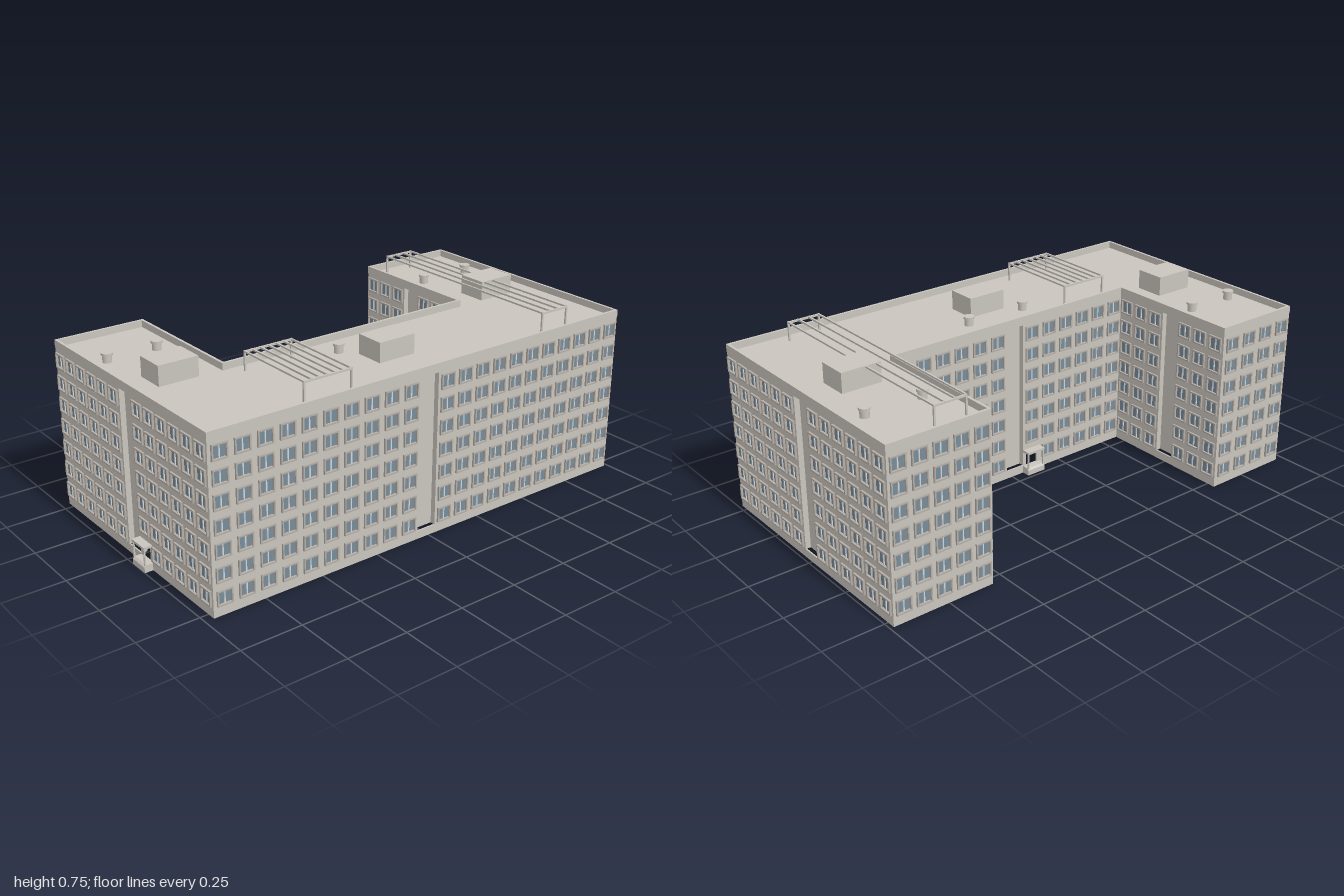
import * as THREE from 'three';
import { mergeGeometries } from 'three/addons/utils/BufferGeometryUtils.js';

const mat = (name, color) => new THREE.MeshStandardMaterial({ name, color, side: THREE.DoubleSide });
const concrete = mat('concrete', 0xc9c4bd);
const frameGrey = mat('frame grey', 0xb5aea6);
const glassBlue = mat('glass blue', 0x788c9b);
const mullionWhite = mat('mullion white', 0xd3d6d6);

const ROWS = 7, ROW0 = 0.072, ROW_STEP = 0.0912;
const WIN_W = 0.064, WIN_H = 0.061;
const STRIP_W = 0.086, STRIP_BOTTOM = 0.034, STRIP_TOP = 0.66;
const WALL_TOP = 0.668, ROOF_TOP = 0.697, THICK = 0.006;
const X0 = -0.965, X1 = 0.985, Z0 = -0.535, Z1 = 0.535;
const CX0 = -0.585, CX1 = 0.557, CZ = 0.05; // courtyard

function add(parent, name, geometry, material) {
  const mesh = new THREE.Mesh(geometry, material);
  mesh.name = name;
  parent.add(mesh);
  return mesh;
}

// Box given by its minimum and maximum corners
function box(x0, x1, y0, y1, z0, z1) {
  return new THREE.BoxGeometry(x1 - x0, y1 - y0, z1 - z0)
    .translate((x0 + x1) / 2, (y0 + y1) / 2, (z0 + z1) / 2);
}

function rect(Kind, x0, x1, y0, y1) {
  const p = new Kind();
  p.moveTo(x0, y0);
  p.lineTo(x1, y0);
  p.lineTo(x1, y1);
  p.lineTo(x0, y1);
  p.closePath();
  return p;
}

// Evenly spaced window centres between two wall positions
function columns(a, b) {
  const n = Math.round((b - a) / 0.088);
  return Array.from({ length: n }, (_, i) => a + (b - a) * (i + 0.5) / n);
}

// Porch beside the stair strip: step, canopy and slim posts
function entrance(parent, u) {
  const g = new THREE.Group();
  g.name = 'entrance';
  g.position.x = u;
  parent.add(g);
  const side = new THREE.Shape([[0, 0], [0.035, 0], [0.035, 0.022], [0.026, 0.03], [0, 0.03]]
    .map(([x, y]) => new THREE.Vector2(x, y)));
  add(g, 'entranceStep', new THREE.ExtrudeGeometry(side, { depth: 0.086, bevelEnabled: false })
    .rotateY(-Math.PI / 2).translate(0.043, 0, 0), concrete);
  add(g, 'entranceCanopy', box(-0.043, 0.043, 0.094, 0.104, 0, 0.035), concrete);
  for (const s of [-1, 1])
    add(g, 'entrancePost', box(s * 0.039 - 0.003, s * 0.039 + 0.003, 0.028, 0.095, 0.027, 0.033), concrete);
}

// Wall in its own frame: x along the wall, +z outwards
function wall(parent, name, x, z, turn, length, strip = null, hasDoor = false) {
  const g = new THREE.Group();
  g.name = name;
  g.position.set(x, 0, z);
  g.rotation.y = turn;
  parent.add(g);

  const h = length / 2;
  const shape = rect(THREE.Shape, -h, h, 0, WALL_TOP);
  let us = columns(-h, h), doorU = null;
  if (strip !== null) {
    const a = strip - STRIP_W / 2, b = strip + STRIP_W / 2;
    const right = columns(b, h);
    us = [...columns(-h, a), ...right];
    if (hasDoor) doorU = right[0];
    shape.holes.push(rect(THREE.Path, a, b, STRIP_BOTTOM, STRIP_TOP));
    // Recessed stair strip, open along its bottom edge
    const d = -0.022;
    add(g, 'stairStrip', mergeGeometries([
      box(a, b, STRIP_BOTTOM, STRIP_TOP, d - 0.004, d),
      box(a - 0.003, a, STRIP_BOTTOM, STRIP_TOP, d, -THICK),
      box(b, b + 0.003, STRIP_BOTTOM, STRIP_TOP, d, -THICK),
      box(a, b, STRIP_TOP, STRIP_TOP + 0.003, d, -THICK),
    ]), concrete);
  }

  const frameShape = rect(THREE.Shape, -WIN_W / 2, WIN_W / 2, -WIN_H / 2, WIN_H / 2);
  const inW = WIN_W / 2 - 0.006, inH = WIN_H / 2 - 0.006;
  frameShape.holes.push(rect(THREE.Path, -inW, inW, -inH, inH));
  const frame = new THREE.ExtrudeGeometry(frameShape, { depth: 0.014, bevelEnabled: false })
    .translate(0, 0, -0.006);
  const pane = box(-inW, inW, -inH, inH, -0.004, -0.001);
  const bar = box(-0.0025, 0.0025, -inH, inH, -0.001, 0.003);
  const frames = [], panes = [], bars = [];
  for (const u of us) for (let r = 0; r < ROWS; r++) {
    const y = ROW0 + r * ROW_STEP;
    if (u === doorU && r === 0) {
      shape.holes.push(rect(THREE.Path, u - 0.028, u + 0.028, 0.03, 0.094));
      continue;
    }
    shape.holes.push(rect(THREE.Path, u - inW, u + inW, y - inH, y + inH));
    frames.push(frame.clone().translate(u, y, 0));
    panes.push(pane.clone().translate(u, y, 0));
    bars.push(bar.clone().translate(u, y, 0));
  }
  add(g, 'wallPanel', new THREE.ExtrudeGeometry(shape, { depth: THICK, bevelEnabled: false })
    .translate(0, 0, -THICK), concrete);
  add(g, 'windowFrames', mergeGeometries(frames), frameGrey);
  add(g, 'windowPanes', mergeGeometries(panes), glassBlue);
  add(g, 'windowMullions', mergeGeometries(bars), mullionWhite);
  if (doorU !== null) entrance(g, doorU);
}

// U-shaped outline moved inwards by i, with z mirrored for laying flat
function outline(i) {
  return [
    [X0 + i, Z0 + i], [X0 + i, Z1 - i], [X1 - i, Z1 - i], [X1 - i, Z0 + i],
    [CX1 + i, Z0 + i], [CX1 + i, CZ + i], [CX0 - i, CZ + i], [CX0 - i, Z0 + i],
  ].map(([x, z]) => new THREE.Vector2(x, -z));
}

function slab(shape, y0, y1) {
  return new THREE.ExtrudeGeometry(shape, { depth: y1 - y0, bevelEnabled: false })
    .rotateX(-Math.PI / 2).translate(0, y0, 0);
}

// Roof pergola: corner posts, end beams and long slats
function pergola(parent, x0, x1, z0, z1, slats) {
  const t = 0.007, top = 0.748, parts = [];
  for (const z of [z0, z1 - t]) {
    parts.push(box(x0, x1, top - 0.009, top - 0.001, z, z + t));
    for (const x of [x0, x1 - t]) parts.push(box(x, x + t, WALL_TOP, top - 0.002, z, z + t));
  }
  for (let i = 0; i < slats; i++) {
    const x = x0 + (x1 - x0 - t) * i / (slats - 1);
    parts.push(box(x, x + t, top - 0.007, top, z0, z1));
  }
  add(parent, 'pergola', mergeGeometries(parts), concrete);
}

export function createModel() {
  const model = new THREE.Group();
  model.name = 'apartmentBlock';
  const Q = Math.PI / 2, midX = (X0 + X1) / 2, wingZ = (Z0 + CZ) / 2, wingL = CZ - Z0;

  // Outer walls
  wall(model, 'frontWall', midX, Z1, 0, X1 - X0, -0.023);
  wall(model, 'leftOuterWall', X1, 0, Q, Z1 - Z0, 0);
  wall(model, 'rightOuterWall', X0, 0, -Q, Z1 - Z0, 0, true);
  wall(model, 'leftWingEnd', (CX1 + X1) / 2, Z0, 2 * Q, X1 - CX1);
  wall(model, 'rightWingEnd', (CX0 + X0) / 2, Z0, 2 * Q, CX0 - X0);
  // Courtyard walls
  wall(model, 'courtyardWall', (CX0 + CX1) / 2, CZ, 2 * Q, CX1 - CX0, 0, true);
  wall(model, 'leftWingInnerWall', CX1, wingZ, -Q, wingL, 0, true);
  wall(model, 'rightWingInnerWall', CX0, wingZ, Q, wingL, 0);

  // Roof and parapet
  add(model, 'roof', slab(new THREE.Shape(outline(0.003)), WALL_TOP - 0.006, WALL_TOP + 0.001), concrete);
  const rim = new THREE.Shape(outline(-0.001));
  rim.holes.push(new THREE.Path(outline(0.01)));
  add(model, 'parapet', slab(rim, WALL_TOP - 0.003, ROOF_TOP), concrete);

  // Roof huts
  for (const [x, z] of [[-0.775, -0.007], [-0.016, 0.29], [0.772, -0.007]])
    add(model, 'roofHut', box(x - 0.083, x + 0.083, WALL_TOP, 0.749, z - 0.062, z + 0.062), concrete);

  // Roof vents
  for (const [x, z] of [[-0.885, -0.272], [-0.675, -0.272], [-0.15, 0.17], [0.12, 0.17], [0.655, -0.272], [0.893, -0.272]]) {
    add(model, 'roofVent', new THREE.CylinderGeometry(0.018, 0.018, 0.036, 16), concrete).position.set(x, WALL_TOP + 0.018, z);
    add(model, 'ventCap', new THREE.CylinderGeometry(0.022, 0.022, 0.01, 16), concrete).position.set(x, 0.702, z);
  }

  pergola(model, -0.535, -0.322, 0.108, 0.477, 7);
  pergola(model, 0.614, 0.754, -0.48, 0.477, 4);
  return model;
}
